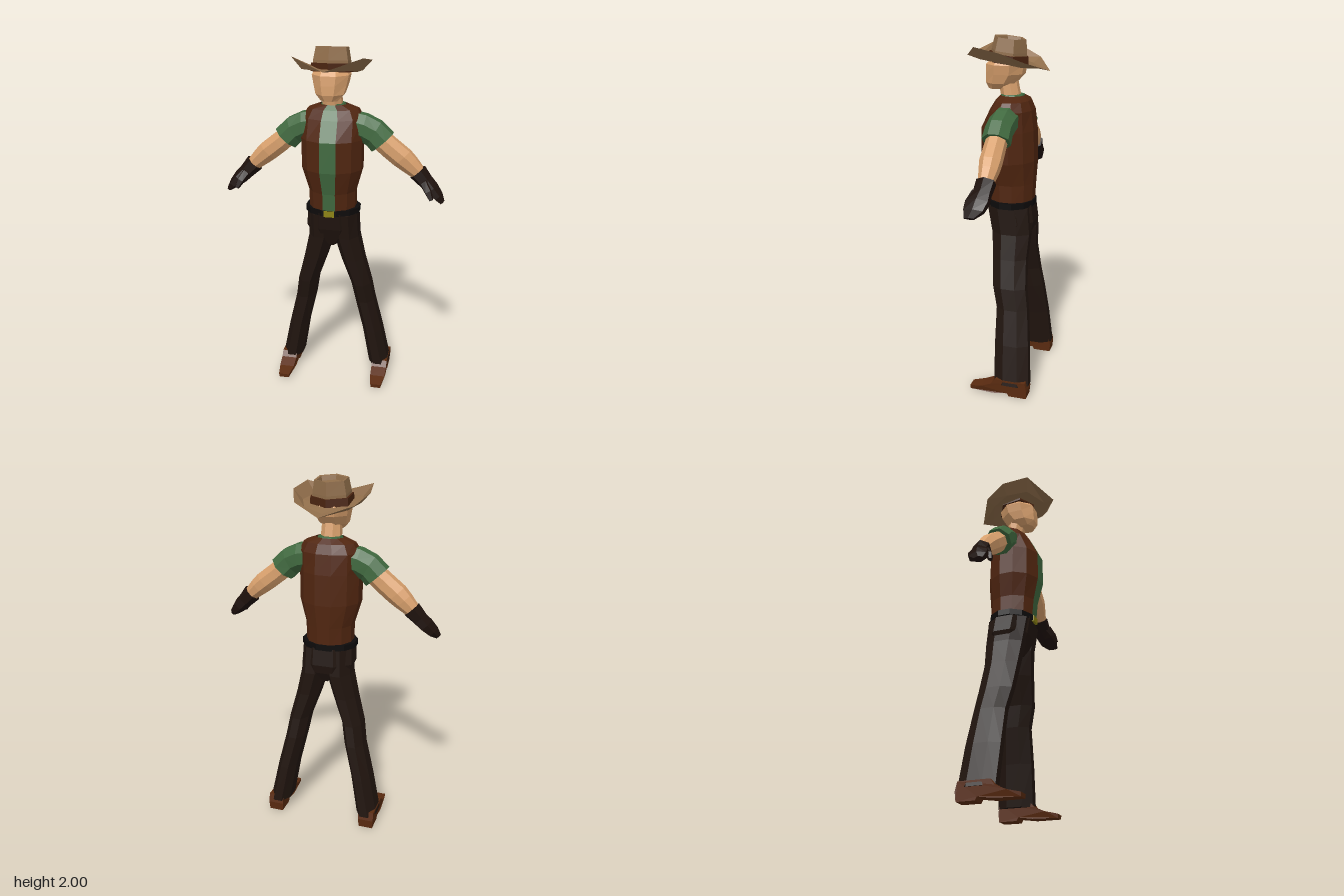
import * as THREE from 'three';

const COLORS = {
  skin: 0xd79f6c, shirt: 0x40693f, vest: 0x512610, trousers: 0x21150f, glove: 0x1e110c,
  boot: 0x5a2b10, belt: 0x0d0b0b, buckle: 0x8c8212, hat: 0x8f6d4a, band: 0x4a2410,
};

function addMesh(parent, name, geometry, color, doubleSide = false) {
  const material = new THREE.MeshStandardMaterial({ color: COLORS[color], flatShading: true });
  if (doubleSide) material.side = THREE.DoubleSide;
  const mesh = new THREE.Mesh(geometry, material);
  mesh.name = name;
  parent.add(mesh);
  return mesh;
}

// Skins rings of Vector3; each ring runs counter-clockwise seen from the end of the path
function skin(rings, caps) {
  const pos = [];
  const tri = (...pts) => pts.forEach((p) => pos.push(p.x, p.y, p.z));
  for (let i = 0; i < rings.length - 1; i++) {
    for (let j = 0; j < rings[i].length - 1; j++) {
      const [a, b, c, d] = [rings[i][j], rings[i][j + 1], rings[i + 1][j + 1], rings[i + 1][j]];
      tri(a, b, c);
      tri(a, c, d);
    }
  }
  if (caps) {
    [rings[0], rings[rings.length - 1]].forEach((ring, end) => {
      const mid = new THREE.Vector3();
      ring.slice(1).forEach((p) => mid.addScaledVector(p, 1 / (ring.length - 1)));
      for (let j = 0; j < ring.length - 1; j++) {
        if (end) tri(mid, ring[j], ring[j + 1]);
        else tri(mid, ring[j + 1], ring[j]);
      }
    });
  }
  const geo = new THREE.BufferGeometry();
  geo.setAttribute('position', new THREE.Float32BufferAttribute(pos, 3));
  geo.computeVertexNormals();
  return geo;
}

// Sections are [x, y, z, halfWidth, halfDepth, tilt in degrees about z]
function loft(sections, n, { from = 0, to = n, flat = true } = {}) {
  const grow = flat ? 1 / Math.cos(Math.PI / n) : 1;
  const rings = sections.map(([x, y, z, rx, rz, tilt = 0]) => {
    const t = THREE.MathUtils.degToRad(tilt);
    const ring = [];
    for (let j = from; j <= to; j++) {
      const a = ((j + (flat ? 0.5 : 0)) / n) * Math.PI * 2;
      const u = rx * grow * Math.sin(a);
      ring.push(new THREE.Vector3(x + u * Math.cos(t), y + u * Math.sin(t), z + rz * grow * Math.cos(a)));
    }
    return ring;
  });
  return skin(rings, to - from === n);
}

// Tilts a geometry down towards the back
function slope(geo, amount) {
  const p = geo.attributes.position;
  for (let i = 0; i < p.count; i++) p.setY(i, p.getY(i) + amount * p.getZ(i));
  geo.computeVertexNormals();
  return geo;
}

function buildTorso(root) {
  const torso = new THREE.Group();
  torso.name = 'torso';
  torso.position.x = -0.006;
  root.add(torso);
  const sections = [
    [0, 1.09, -0.027, 0.13, 0.125], [0, 1.2, -0.025, 0.132, 0.133], [0, 1.33, -0.013, 0.168, 0.152],
    [0, 1.5, -0.01, 0.17, 0.15], [0, 1.61, -0.03, 0.168, 0.117], [0, 1.66, -0.035, 0.14, 0.092],
    [0, 1.685, -0.03, 0.075, 0.065],
  ];
  addMesh(torso, 'vest', loft(sections, 12, { from: 0, to: 11 }), 'vest', true);
  addMesh(torso, 'shirtFront', loft(sections, 12, { from: -1, to: 0 }), 'shirt', true);
  addMesh(torso, 'collar', loft([[0, 1.65, -0.03, 0.08, 0.07], [0, 1.69, -0.03, 0.06, 0.06]], 8), 'shirt');
  addMesh(torso, 'belt', loft([[0, 1.07, -0.03, 0.153, 0.13], [0, 1.103, -0.03, 0.153, 0.13]], 12), 'belt');
  const buckle = addMesh(torso, 'buckle', new THREE.BoxGeometry(0.06, 0.034, 0.014), 'buckle');
  buckle.position.set(0, 1.084, 0.1);
  addMesh(torso, 'hips', loft([
    [0, 0.87, -0.045, 0.03, 0.075], [0, 0.93, -0.05, 0.125, 0.105],
    [0, 0.98, -0.045, 0.146, 0.122], [0, 1.08, -0.03, 0.14, 0.124],
  ], 8), 'trousers');
}

function buildHead(root) {
  const head = new THREE.Group();
  head.name = 'head';
  head.position.x = -0.008;
  root.add(head);
  addMesh(head, 'neck', loft([[0, 1.65, -0.025, 0.055, 0.052], [0, 1.78, 0, 0.05, 0.05]], 8), 'skin');
  addMesh(head, 'face', loft([
    [0, 1.717, 0.06, 0.045, 0.042], [0, 1.75, 0.035, 0.076, 0.08], [0, 1.8, 0.012, 0.09, 0.102],
    [0, 1.85, 0.005, 0.1, 0.105], [0, 1.89, 0, 0.078, 0.075],
  ], 8), 'skin');

  // Hat: sloped crown with a dented top, a band and a brim curled up at the sides
  const hat = new THREE.Group();
  hat.name = 'hat';
  head.add(hat);
  addMesh(hat, 'crown', slope(loft([
    [0, 1.865, -0.005, 0.11, 0.1], [0, 1.92, -0.008, 0.108, 0.099], [0, 1.991, -0.015, 0.094, 0.088],
    [0, 1.989, -0.015, 0.082, 0.076], [0, 1.965, -0.015, 0.075, 0.07],
  ], 6, { flat: false }), 0.12), 'hat');
  addMesh(hat, 'hatBand', slope(loft([
    [0, 1.86, -0.005, 0.122, 0.111], [0, 1.905, -0.005, 0.12, 0.109],
  ], 6, { flat: false }), 0.12), 'band');

  // Half outlines [x, y, z] from front to back, outer edge first
  const halves = [
    [[0, 1.89, 0.232], [0.19, 1.952, 0.13], [0.215, 1.925, -0.02], [0.165, 1.875, -0.14], [0, 1.82, -0.235]],
    [[0, 1.884, 0.17], [0.14, 1.885, 0.11], [0.165, 1.87, -0.01], [0.12, 1.845, -0.11], [0, 1.83, -0.17]],
    [[0, 1.885, 0.1], [0.075, 1.88, 0.06], [0.1, 1.868, 0], [0.075, 1.86, -0.06], [0, 1.855, -0.1]],
  ];
  const rings = halves.map((half) => {
    const mirrored = half.slice(0, -1).reverse().map(([x, y, z]) => [-x, y, z]);
    return [...half, ...mirrored].map((p) => new THREE.Vector3(...p));
  });
  addMesh(hat, 'brim', skin(rings, false), 'hat', true);
}

function buildArm() {
  const arm = new THREE.Group();
  arm.name = 'arm';
  addMesh(arm, 'sleeve', loft([
    [0.11, 1.57, -0.03, 0.075, 0.07, -90], [0.17, 1.557, -0.025, 0.076, 0.072, -100],
    [0.225, 1.53, -0.022, 0.075, 0.07, -120], [0.272, 1.483, -0.022, 0.075, 0.073, -138],
  ], 8), 'shirt');
  addMesh(arm, 'forearm', loft([
    [0.24, 1.515, -0.025, 0.055, 0.052, -135], [0.31, 1.455, -0.025, 0.058, 0.054, -137],
    [0.38, 1.4, -0.027, 0.058, 0.056, -137], [0.42, 1.365, -0.03, 0.052, 0.05, -137],
    [0.48, 1.31, -0.03, 0.038, 0.036, -137],
  ], 8), 'skin');
  addMesh(arm, 'glove', loft([
    [0.468, 1.322, -0.032, 0.046, 0.046, -137], [0.515, 1.272, -0.026, 0.038, 0.044, -135],
    [0.55, 1.238, -0.015, 0.036, 0.056, -135], [0.588, 1.2, -0.005, 0.026, 0.05, -138],
    [0.613, 1.17, 0.012, 0.013, 0.026, -142],
  ], 6), 'glove');
  addMesh(arm, 'thumb', loft([
    [0.505, 1.28, 0.005, 0.022, 0.022, -140], [0.535, 1.235, 0.035, 0.02, 0.018, -150],
    [0.555, 1.19, 0.052, 0.01, 0.01, -155],
  ], 5), 'glove');
  return arm;
}

function buildLeg() {
  const leg = new THREE.Group();
  leg.name = 'leg';
  addMesh(leg, 'trouserLeg', loft([
    [0.273, 0.07, -0.112, 0.06, 0.102], [0.229, 0.3, -0.1, 0.056, 0.098], [0.181, 0.5, -0.088, 0.056, 0.09],
    [0.16, 0.62, -0.065, 0.057, 0.095], [0.11, 0.78, -0.053, 0.065, 0.097],
    [0.074, 0.92, -0.05, 0.07, 0.108], [0.07, 1.07, -0.03, 0.068, 0.115],
  ], 8), 'trousers');

  // Boot: side profile [z, y] given a width that narrows to the toe and at the bottom
  const profile = [
    [-0.208, 0], [-0.105, 0], [-0.095, 0.018], [-0.01, 0.006], [0.13, 0.004], [0.132, 0.026],
    [0.06, 0.042], [0, 0.068], [-0.025, 0.1], [-0.2, 0.1], [-0.212, 0.05],
  ];
  const shape = new THREE.Shape(profile.map(([z, y]) => new THREE.Vector2(z, y)));
  const boot = new THREE.ExtrudeGeometry(shape, { depth: 0.09, bevelEnabled: false });
  boot.translate(0, 0, -0.045).rotateY(-Math.PI / 2);
  const p = boot.attributes.position;
  for (let i = 0; i < p.count; i++) {
    const toe = THREE.MathUtils.clamp((p.getZ(i) - 0.05) / 0.08, 0, 1);
    const sole = p.getY(i) < 0.02 ? 0.9 : 1;
    p.setX(i, p.getX(i) * (1 - 0.3 * toe) * sole + 0.284);
  }
  boot.computeVertexNormals();
  addMesh(leg, 'boot', boot, 'boot');
  return leg;
}

export function createModel() {
  const root = new THREE.Group();
  root.name = 'ranchHand';
  buildTorso(root);
  buildHead(root);
  // Limbs, mirrored across x = 0
  for (const [side, sign] of [['left', 1], ['right', -1]]) {
    for (const [part, build] of [['Arm', buildArm], ['Leg', buildLeg]]) {
      const limb = build();
      limb.name = side + part;
      limb.scale.x = sign;
      root.add(limb);
    }
  }
  return root;
}
